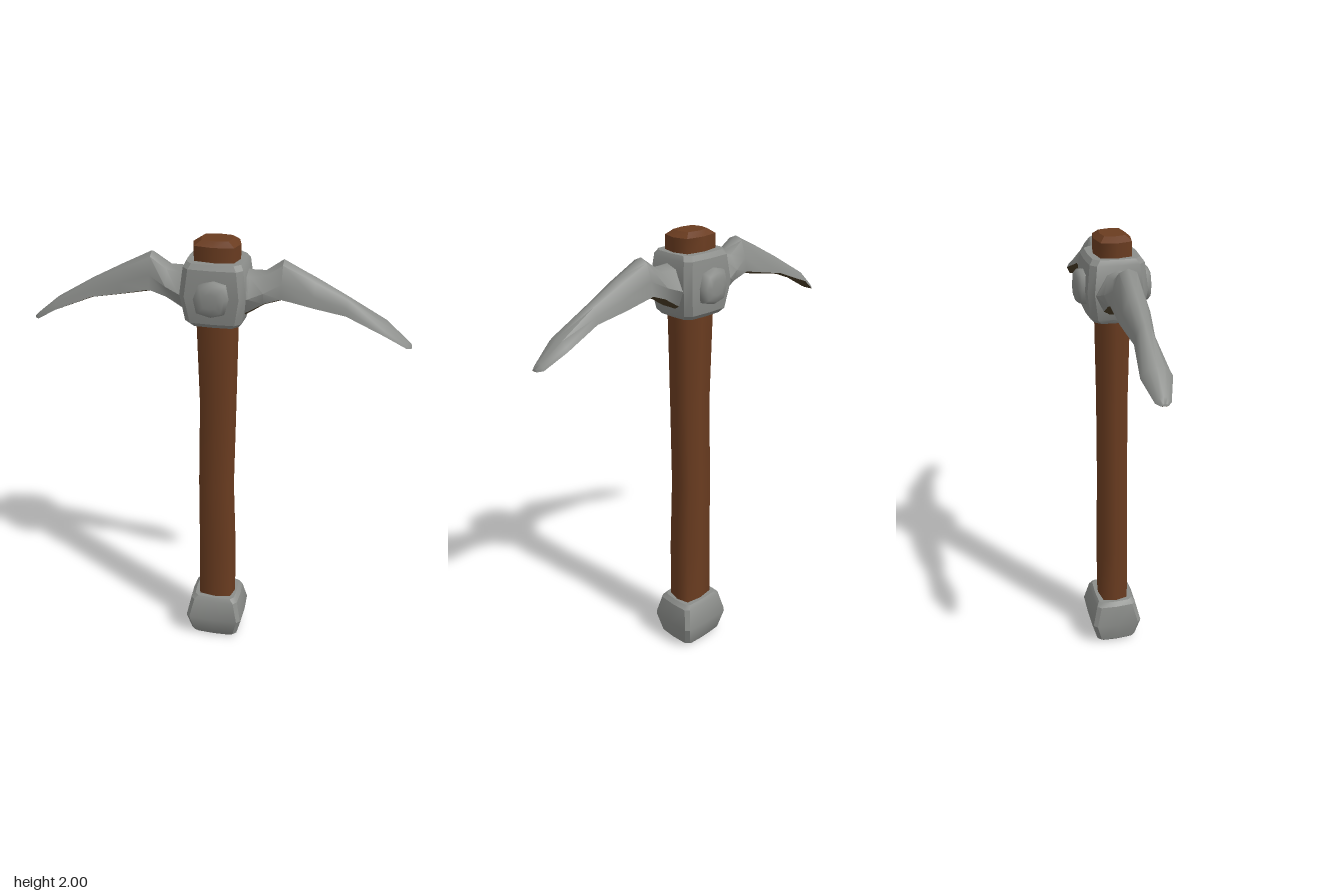
import * as THREE from 'three';
import { toCreasedNormals } from 'three/addons/utils/BufferGeometryUtils.js';

// Skin a closed solid over rings that turn right-handed about the travel direction
function loft(rings, crease = 0.5) {
  const n = rings[0].length, last = rings.length - 1, pos = rings.flat(2), index = [];
  for (let i = 0; i < last; i++)
    for (let j = 0; j < n; j++) {
      const a = i * n + j, b = i * n + (j + 1) % n;
      index.push(a, b, b + n, a, b + n, a + n);
    }
  for (let j = 1; j < n - 1; j++) {
    index.push(0, j + 1, j);
    index.push(last * n, last * n + j, last * n + j + 1);
  }
  const g = new THREE.BufferGeometry();
  g.setAttribute('position', new THREE.Float32BufferAttribute(pos, 3));
  g.setIndex(index);
  return toCreasedNormals(g, crease);
}

// Horizontal block section with chamfered corners and slightly bulging sides
function blockRing(y, a, b, c) {
  const k = 0.96;
  const quarter = [[a, 0], [a * k, b - c], [a - c, b * k], [0, b]];
  const half = [...quarter, ...quarter.slice(0, 3).reverse().map(([x, z]) => [-x, z])];
  const full = [...half, ...half.slice(1, 6).reverse().map(([x, z]) => [x, -z])];
  return full.map(([x, z]) => [x, y, -z]);
}

// Horizontal oval section from left edge, right edge and half depth
const oval = [[1, 0], [0.83, 0.83], [0, 1], [-0.83, 0.83], [-1, 0], [-0.83, -0.83], [0, -1], [0.83, -0.83]];
const ovalRing = ([y, l, r, d]) => oval.map(([x, z]) => [(l + r) / 2 + x * (r - l) / 2, y, -z * d]);

export function createModel() {
  const group = new THREE.Group();
  const makeMaterial = (name, color) => {
    const material = new THREE.MeshStandardMaterial({ color });
    material.name = name;
    return material;
  };
  const wood = makeMaterial('brown wood', 0x6a3c20);
  const iron = makeMaterial('grey iron', 0x8b8d8a);
  const darkIron = makeMaterial('dark brown underside', 0x4a3c26);
  const add = (name, geometry, material) => {
    const mesh = new THREE.Mesh(geometry, material);
    mesh.name = name;
    group.add(mesh);
    return mesh;
  };

  // Wooden shaft: y, left edge, right edge, half depth
  const shaft = [
    [0.15, -0.09, 0.09, 0.07], [0.5, -0.086, 0.09, 0.07], [0.85, -0.086, 0.078, 0.067],
    [1.25, -0.078, 0.085, 0.066], [1.6, -0.088, 0.09, 0.071], [1.9, -0.097, 0.097, 0.078],
    [1.98, -0.097, 0.097, 0.076],
  ];
  add('handle', loft(shaft.map(ovalRing), 1.3), wood);
  add('handleTop', loft([[1.98, -0.097, 0.097, 0.076], [2.0, -0.065, 0.065, 0.052]].map(ovalRing)), wood);

  // Iron cap at the foot: y, half width, half depth
  const foot = [[0, 0.1, 0.085], [0.018, 0.118, 0.098], [0.115, 0.14, 0.122], [0.212, 0.118, 0.098], [0.23, 0.1, 0.085]];
  add('pommel', loft(foot.map(([y, a, b]) => blockRing(y, a, b, 0.022))), iron);

  // Iron socket round the shaft
  const socket = [[1.655, 0.107, 0.095], [1.675, 0.122, 0.113], [1.79, 0.141, 0.13], [1.9, 0.127, 0.117], [1.92, 0.115, 0.102]];
  add('collar', loft(socket.map(([y, a, b]) => blockRing(y, a, b, 0.03))), iron);

  // Domed rivets on the front and back: z, scale
  const studOutline = [[0.073, 0.005], [0.06, 0.062], [0.01, 0.075], [-0.05, 0.06],
    [-0.073, 0.0], [-0.06, -0.06], [0, -0.075], [0.055, -0.06]];
  const studGeometry = loft([[0.11, 1], [0.138, 0.97], [0.154, 0.78], [0.16, 0.42]].map(([z, s]) =>
    studOutline.map(([x, y]) => [x * s, 1.788 + y * s, z])), 1.2);

  // Pick arm: x, top, bottom, half depth, share of depth at mid height, share at lower edge
  const arm = [
    [0.09, 1.89, 1.68, 0.105, 1, 0.6], [0.14, 1.88, 1.71, 0.095, 1, 0.65], [0.2, 1.88, 1.75, 0.078, 1, 0.8],
    [0.27, 1.93, 1.775, 0.07, 0.85, 1], [0.4, 1.865, 1.748, 0.063, 0.85, 1], [0.53, 1.797, 1.72, 0.042, 0.85, 1],
    [0.69, 1.702, 1.658, 0.06, 0.85, 1], [0.78, 1.628, 1.602, 0.03, 0.85, 1], [0.8, 1.61, 1.6, 0.014, 0.85, 1],
  ];
  const armLoft = (section, crease) => loft(arm.map(([x, t, b, d, mid, edge]) =>
    section(mid, edge).map(([h, w]) => [x, b + (t - b) * h, w * d])), crease);
  // Sections: height fraction, depth fraction
  const upper = armLoft((m, e) => [[1, 0], [0.9, 0.5], [0.45, m], [0.08, e], [0.08, -e], [0.45, -m], [0.9, -0.5]], 0.9);
  const under = armLoft((m, e) => [[0.08, e], [0, e * 0.6], [0, -e * 0.6], [0.08, -e]], 0.5);

  // Both arms and both rivets are half-turn copies
  for (const [side, face, turn] of [['left', 'front', 0], ['right', 'back', Math.PI]]) {
    add(side + 'PickArm', upper, iron).rotation.y = turn;
    add(side + 'PickArmUnderside', under, darkIron).rotation.y = turn;
    add(face + 'Rivet', studGeometry, iron).rotation.y = turn;
  }
  return group;
}
